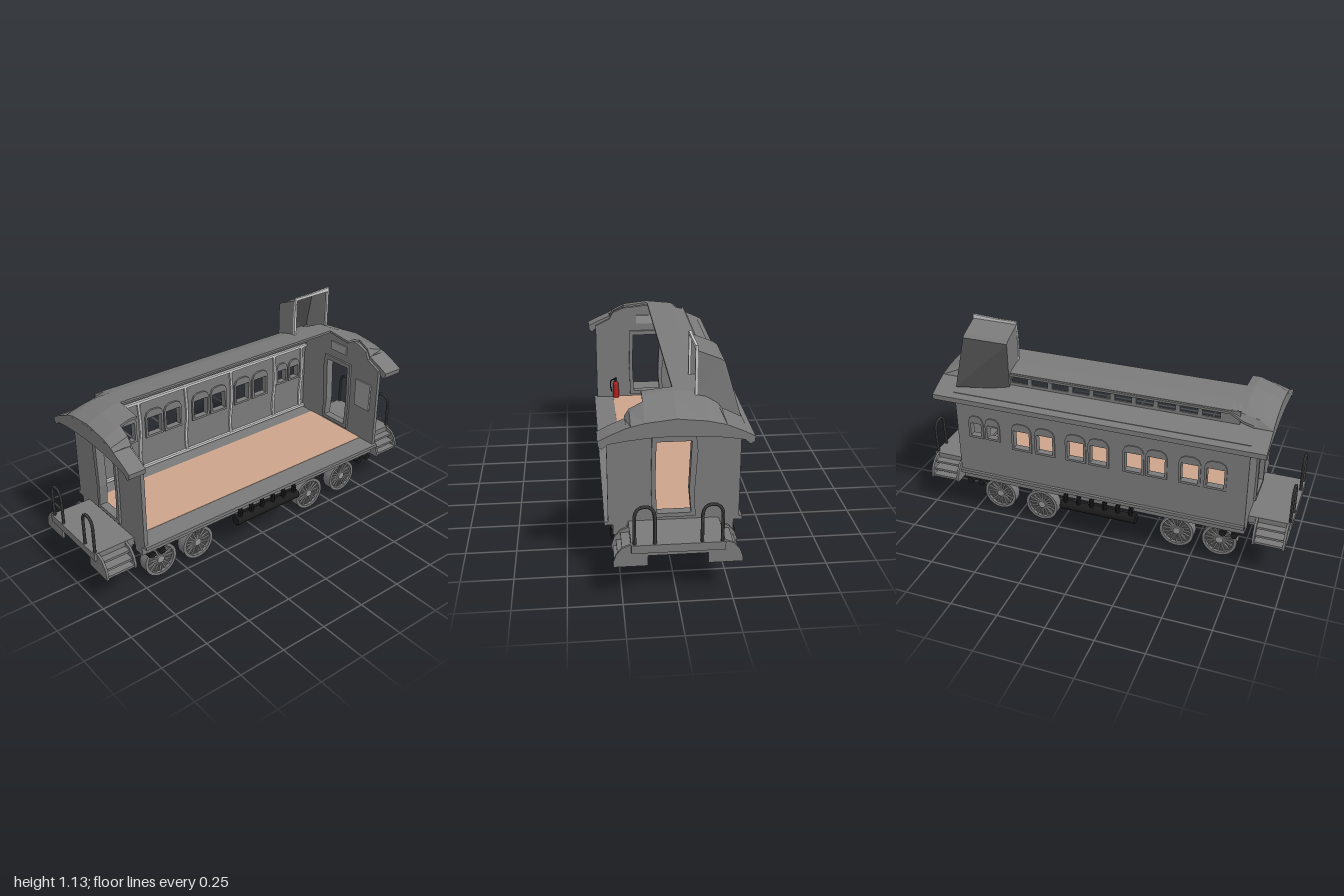
import * as THREE from 'three';

const mat = (color) => new THREE.MeshStandardMaterial({ color, flatShading: true, side: THREE.DoubleSide });
const grey = mat(0x7a7a7a), light = mat(0xcccccc), mid = mat(0x969696), dark = mat(0x4c4c4c);
const black = mat(0x1c1c1c), tan = mat(0xcca38b), red = mat(0xb02020);

export function createModel() {
  const root = new THREE.Group();
  const add = (name, geo, m = grey, parent = root) => {
    const mesh = new THREE.Mesh(geo, m);
    mesh.name = name;
    parent.add(mesh);
    return mesh;
  };
  // Box given by its limits on each axis
  const box = (name, x0, x1, y0, y1, z0, z1, m, parent) =>
    add(name, new THREE.BoxGeometry(x1 - x0, y1 - y0, z1 - z0)
      .translate((x0 + x1) / 2, (y0 + y1) / 2, (z0 + z1) / 2), m, parent);
  const rod = (name, r, len, axis, x, y, z, m = black) => {
    const g = new THREE.CylinderGeometry(r, r, len, 12);
    if (axis === 'x') g.rotateZ(Math.PI / 2);
    if (axis === 'z') g.rotateX(Math.PI / 2);
    return add(name, g.translate(x, y, z), m);
  };
  const poly = (pts) => pts.map(([a, b]) => new THREE.Vector2(a, b));
  const plate = (pts, holes, depth) => {
    const s = new THREE.Shape(poly(pts));
    holes.forEach((h) => s.holes.push(new THREE.Path(poly(h))));
    return new THREE.ExtrudeGeometry(s, { depth, bevelEnabled: false });
  };
  // Plate drawn in (z, y), its thickness running from x to x - depth
  const sidePlate = (pts, holes, x, depth) => plate(pts, holes, depth).rotateY(-Math.PI / 2).translate(x, 0, 0);
  const rect = (c, w, y0, y1) => [[c - w / 2, y0], [c + w / 2, y0], [c + w / 2, y1], [c - w / 2, y1]];
  // Sheet of thickness t through matching cross-sections
  const sheet = (sections, t) => {
    const n = sections[0].length, pos = [], idx = [];
    sections.forEach((s) => {
      s.forEach((p) => pos.push(...p));
      s.forEach((_, i) => { const p = s[n - 1 - i]; pos.push(p[0], p[1] - t, p[2]); });
    });
    const m = 2 * n, last = (sections.length - 1) * m;
    for (let k = 0; k < sections.length - 1; k++) {
      for (let i = 0; i < m; i++) {
        const a = k * m + i, b = k * m + (i + 1) % m;
        idx.push(a, a + m, b, b, a + m, b + m);
      }
    }
    for (let i = 0; i < n - 1; i++) {
      const a = i, b = i + 1, c = m - 2 - i, d = m - 1 - i;
      idx.push(a, b, c, a, c, d, last + a, last + c, last + b, last + a, last + d, last + c);
    }
    const g = new THREE.BufferGeometry();
    g.setAttribute('position', new THREE.Float32BufferAttribute(pos, 3));
    g.setIndex(idx);
    g.computeVertexNormals();
    return g;
  };

  // Floor and underframe
  box('floorSlab', -0.32, 0.32, 0.285, 0.303, -0.78, 0.78);
  box('floorCarpet', -0.2, 0.205, 0.3, 0.305, -0.765, 0.765, tan);
  box('underfloor', -0.22, 0.22, 0.262, 0.285, -0.78, 0.78, dark);
  for (const s of [-1, 1]) {
    const x = s * 0.25;
    box('sideSill', x - 0.03, x + 0.03, 0.235, 0.285, -0.78, 0.78);
    box('longBeam', s * 0.2 - 0.02, s * 0.2 + 0.02, 0.19, 0.215, -0.62, 0.66, black);
    // Pipe with bent hangers under each side
    rod('underPipe', 0.026, 0.42, 'z', s * 0.28, 0.187, 0, black);
    for (let i = 0; i < 6; i++) {
      const z = -0.18 + i * 0.073;
      const path = new THREE.CatmullRomCurve3([[0.265, 0.288, 0], [0.285, 0.27, 0.004], [0.287, 0.235, -0.003], [0.28, 0.19, 0]]
        .map(([a, b, c]) => new THREE.Vector3(s * a, b, z + c)));
      add('pipeHanger', new THREE.TubeGeometry(path, 8, 0.012, 8), black);
    }
  }
  for (const z of [-0.5, -0.2, 0.11, 0.41]) box('crossBeam', -0.22, 0.22, 0.248, 0.264, z - 0.012, z + 0.012);
  for (const z of [0.73, 0.67, -0.68, -0.745]) rod('crossRod', 0.018, 0.58, 'x', 0, 0.218, z);

  // Spoked wheels
  const rimGeo = new THREE.LatheGeometry(poly([[0.076, -0.027], [0.092, -0.027], [0.092, 0.027], [0.076, 0.027], [0.076, -0.027]]), 32)
    .rotateZ(Math.PI / 2);
  const disc = (r, w) => new THREE.CylinderGeometry(r, r, w, 24).rotateZ(Math.PI / 2);
  for (const x of [-0.183, 0.198]) for (const [z, y] of [[0.64, 0.11], [0.41, 0.11], [-0.36, 0.0925], [-0.61, 0.11]]) {
    const wheel = new THREE.Group();
    wheel.name = 'wheel';
    wheel.position.set(x, y, z);
    add('rim', rimGeo, grey, wheel);
    add('web', disc(0.078, 0.02), dark, wheel);
    add('hub', disc(0.02, 0.05), mid, wheel);
    for (let i = 0; i < 16; i++) {
      add('spoke', new THREE.BoxGeometry(0.036, 0.06, 0.007).translate(0, 0.047, 0), mid, wheel)
        .rotation.x = i * Math.PI / 8;
    }
    root.add(wheel);
  }

  // Windowed side wall
  const windows = [0.62, 0.49, 0.32, 0.2, 0.015, -0.11, -0.28, -0.41].map((c) => [c, 0.088, 0.5]);
  windows.push([-0.575, 0.06, 0.53], [-0.67, 0.06, 0.53]);
  const panes = windows.map(([c, w, y]) => rect(c, w, y, 0.605));
  add('sideWall', sidePlate(rect(0, 1.56, 0.3, 0.76), panes, -0.285, 0.02));
  windows.forEach(([c, w, y], i) => {
    const h = w / 2 + 0.012;
    const arch = [[c - h, y - 0.012], [c + h, y - 0.012], [c + h, 0.61], [c + h * 0.8, 0.635],
      [c + h * 0.4, 0.647], [c - h * 0.4, 0.647], [c - h * 0.8, 0.635], [c - h, 0.61]];
    add('windowFrame', sidePlate(arch, [panes[i]], -0.274, 0.037));
  });
  for (const z of [0.7, 0.41, 0.11, -0.2, -0.52, -0.73]) {
    const rib = new THREE.CatmullRomCurve3([[0.31, 0], [0.4, 0.006], [0.55, -0.006], [0.72, 0.004]]
      .map(([y, d]) => new THREE.Vector3(-0.28, y, z + d)));
    add('wallRib', new THREE.TubeGeometry(rib, 8, 0.01, 6), light);
  }
  for (const y of [0.318, 0.715]) box('wallRail', -0.285, -0.27, y - 0.007, y + 0.007, -0.76, 0.76, light);
  box('eaveBeam', -0.315, -0.27, 0.735, 0.775, -0.78, 0.78);

  // End walls, doors, platforms and canopies
  const mirror = (half) => [...half, ...half.filter(([x]) => x !== 0).reverse().map(([x, y]) => [-x, y])];
  const door = [[-0.08, 0.34], [0.078, 0.34], [0.085, 0.5], [0.08, 0.7], [-0.08, 0.7], [-0.07, 0.45]];
  const doorEdge = [[-0.1, 0.32], [0.1, 0.32], [0.105, 0.5], [0.1, 0.725], [-0.1, 0.725], [-0.108, 0.65], [-0.095, 0.45]];
  const wallOutline = mirror([[0.303, 0.3], [0.303, 0.76], [0.22, 0.8], [0.2, 0.84], [0.14, 0.865], [0, 0.88]]);
  const hood = [[0.34, 0.73], [0.345, 0.757], [0.29, 0.785], [0.22, 0.815], [0.12, 0.838], [0, 0.85]];
  const hoodUnder = [[0, 0.77], [0.12, 0.765], [0.22, 0.755], [0.3, 0.742], [0.325, 0.72]];
  const canopy = [...hood, ...hood.slice(0, -1).reverse().map(([x, y]) => [-x, y]),
    ...hoodUnder.slice(1).reverse().map(([x, y]) => [-x, y]), ...hoodUnder];
  const cheek = [[0.13, 0.3], [0.21, 0.3], [0.25, 0.285], [0.278, 0.25], [0.29, 0.215], [0.29, 0.19], [0.135, 0.19], [0.135, 0.235]];
  const reach = { 1: 0.863, [-1]: 0.888 };
  for (const s of [-1, 1]) {
    const end = new THREE.Group();
    end.name = s > 0 ? 'frontEnd' : 'backEnd';
    if (s < 0) end.scale.z = -1;
    root.add(end);
    add('endWall', plate(wallOutline, [door], 0.02).translate(0, 0, 0.76), grey, end);
    add('doorFrame', plate(doorEdge, [door], 0.044).translate(0, 0, 0.748), grey, end);
    box('panelOverDoor', -0.06, 0.06, 0.77, 0.82, 0.752, 0.762, mid, end);
    add('canopy', plate(canopy, [], reach[s] - 0.775).translate(0, 0, 0.775), grey, end);
    box('platform', -0.21, 0.21, 0.262, 0.302, 0.775, 1, grey, end);
    box('platformBeam', -0.195, 0.195, 0.24, 0.264, 0.78, 0.985, grey, end);
    for (const m of [-1, 1]) {
      for (const z of [0.82, 0.975]) {
        add('stepCheek', plate(cheek.map(([x, y]) => [m * x, y]), [], 0.012).translate(0, 0, z), grey, end);
      }
      [[0.215, 0.285, 0.2], [0.18, 0.27, 0.232], [0.17, 0.25, 0.268]].forEach(([a, b, y]) =>
        box('stepTread', Math.min(m * a, m * b), Math.max(m * a, m * b), y - 0.006, y + 0.006, 0.82, 0.985, grey, end));
      // Hoop railing
      const hoop = new THREE.CatmullRomCurve3([[0.105, 0.3], [0.105, 0.39], [0.108, 0.455], [0.125, 0.48], [0.15, 0.486],
        [0.175, 0.48], [0.192, 0.455], [0.195, 0.39], [0.195, 0.3]].map(([x, y]) => new THREE.Vector3(m * x, y, 0.988)));
      add('handrail', new THREE.TubeGeometry(hoop, 24, 0.008, 8), dark, end);
    }
  }
  box('noticePanel', 0.15, 0.26, 0.5, 0.66, -0.762, -0.75, mid);

  // Lower roof over the windowed side
  add('lowerRoof', sheet([-reach[-1], reach[1]].map((z) =>
    [[-0.345, 0.757, z], [-0.29, 0.785, z], [-0.2, 0.822, z]]), 0.02));
  box('roofGutter', -0.345, -0.325, 0.73, 0.757, -reach[-1], reach[1]);

  // Raised roof: heights across x, changing towards the rounded ends
  const xs = [-0.22, -0.2, -0.14, 0, 0.14, 0.2, 0.22];
  const stations = [[0.65, [0.88, 0.887, 0.905, 0.92]], [0.72, [0.84, 0.87, 0.905, 0.92]],
    [0.79, [0.82, 0.853, 0.882, 0.897]], [0.89, [0.814, 0.82, 0.834, 0.85]]];
  const heightAt = (i, z) => {
    const c = i > 3 ? 6 - i : i, a = Math.abs(z);
    const k = stations.findIndex(([d]) => a <= d);
    if (k === 0) return stations[0][1][c];
    const [p, q] = [stations[k - 1], stations[k]];
    return THREE.MathUtils.lerp(p[1][c], q[1][c], (a - p[0]) / (q[0] - p[0]));
  };
  const roofPart = (name, count, zs) => add(name, sheet(zs.map((z) =>
    xs.slice(0, count).map((x, i) => [x, heightAt(i, z), z])), 0.012));
  roofPart('upperRoof', 4, [-0.68, -0.65, 0.65, 0.68]);
  for (const s of [-1, 1]) {
    roofPart('roofShoulder', 5, [0.68, 0.72, 0.77].map((z) => s * z));
    roofPart('roofEnd', 7, [0.77, 0.79, reach[s]].map((z) => s * z));
  }
  const lights = [];
  for (let i = 0; i < 10; i++) lights.push(rect(0.56 - i * 0.112, 0.088, 0.832, 0.876));
  add('roofWindowWall', sidePlate(rect(0, 1.4, 0.805, 0.885), lights, -0.203, 0.01));

  // Hollow roof box, open towards the cutaway side, with a skewed dark outer wall
  const quad = (name, a, b, c, d, m) => {
    const g = new THREE.BufferGeometry().setFromPoints([a, b, c, a, c, d].map((p) => new THREE.Vector3(...p)));
    g.computeVertexNormals();
    add(name, g, m);
  };
  const tf = [-0.228, 1.05, -0.5], tb = [-0.228, 1.05, -0.745], bf = [-0.228, 0.8, -0.5], bb = [-0.3, 0.8, -0.77];
  const rf = [-0.105, 1.107, -0.5], rb = [-0.105, 1.107, -0.745], lf = [-0.105, 0.89, -0.5], lb = [-0.105, 0.89, -0.745];
  const ef = [-0.21, 1.065, -0.5], eb = [-0.21, 1.065, -0.745];
  quad('boxOuterWall', tf, tb, bb, bf, dark);
  quad('boxFrontWall', ef, tf, bf, lf);
  quad('boxFrontWall', rf, ef, lf, lf);
  quad('boxBackWall', eb, tb, bb, lb);
  quad('boxBackWall', rb, eb, lb, lb);
  quad('boxTopBend', tf, ef, eb, tb);
  quad('boxTop', ef, rf, rb, eb);
  add('boxRim', sidePlate([[-0.745, 0.89], [-0.5, 0.89], [-0.496, 1.0], [-0.502, 1.122], [-0.6, 1.122], [-0.745, 1.13]],
    [rect(-0.622, 0.222, 0.905, 1.108)], -0.095, 0.012), light);

  // Fire extinguisher standing by the front wall
  rod('extinguisherBody', 0.018, 0.085, 'y', 0.19, 0.352, 0.735, red);
  add('extinguisherShoulder', new THREE.SphereGeometry(0.018, 12, 8).translate(0.19, 0.394, 0.735), red);
  rod('extinguisherValve', 0.006, 0.03, 'y', 0.19, 0.418, 0.735);
  const hose = new THREE.CatmullRomCurve3([[0.19, 0.425], [0.215, 0.42], [0.222, 0.38], [0.215, 0.345]]
    .map(([x, y]) => new THREE.Vector3(x, y, 0.735)));
  add('extinguisherHose', new THREE.TubeGeometry(hose, 10, 0.004, 6), black);

  return root;
}
